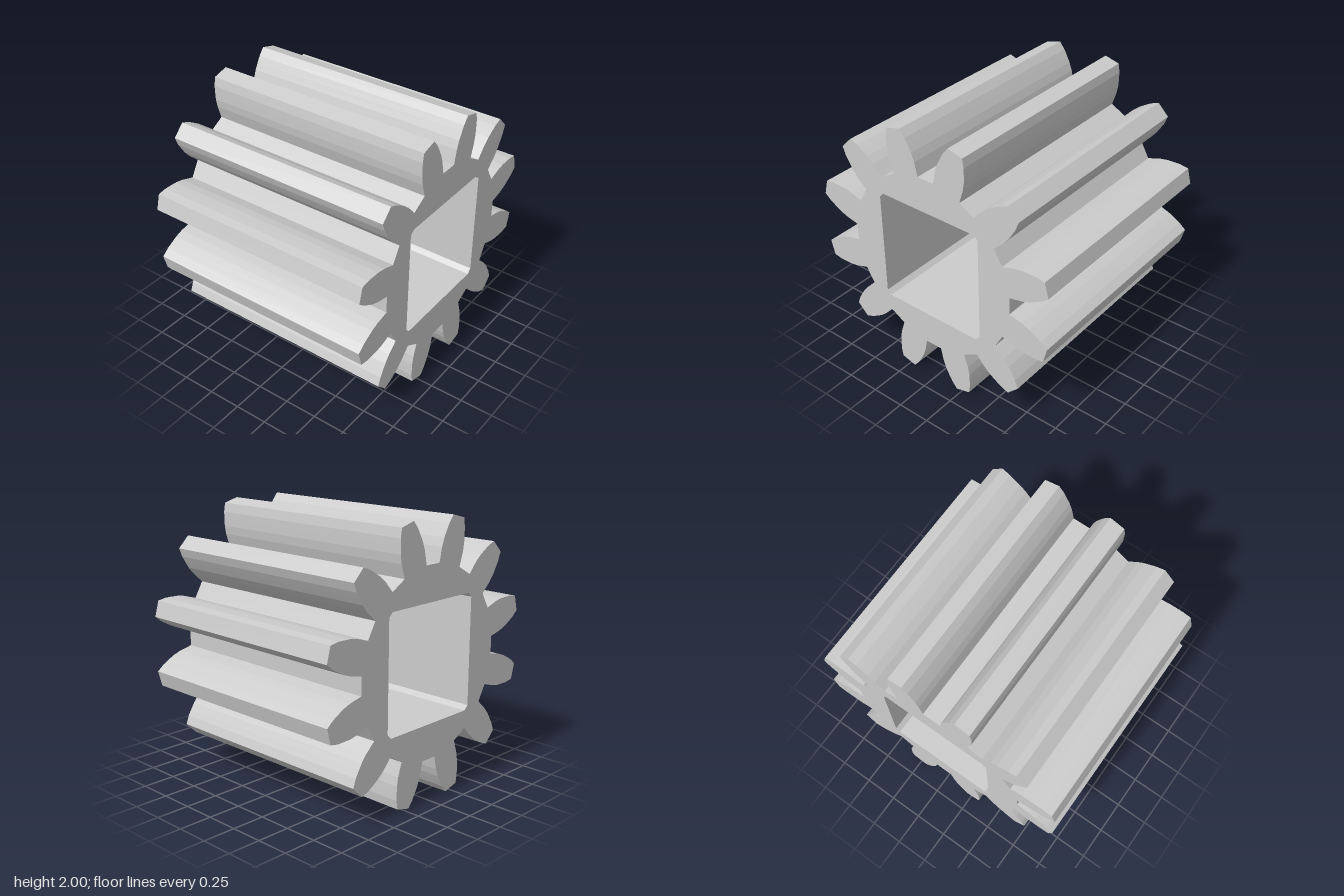
import * as THREE from 'three';

const TEETH = 12;
const LENGTH = 1.75;

// Half of one tooth from root to tip: [distance from axis, half width]
const FLANK = [[0.685, 0.114], [0.79, 0.119], [0.855, 0.113], [0.91, 0.1], [0.957, 0.088], [1.019, 0.06]];

// Outer outline: the mirrored flank repeated around the axis
function gearOutline() {
  const tooth = [
    ...FLANK.map(([r, w]) => new THREE.Vector2(r, -w)),
    ...[...FLANK].reverse().map(([r, w]) => new THREE.Vector2(r, w)),
  ];
  const origin = new THREE.Vector2();
  const points = [];
  for (let i = 0; i < TEETH; i++) {
    const angle = ((i + 0.5) / TEETH) * Math.PI * 2;
    for (const p of tooth) points.push(p.clone().rotateAround(origin, angle));
  }
  return new THREE.Shape(points);
}

// Square bore with small chamfered corners
function squareBore(half, chamfer) {
  const origin = new THREE.Vector2();
  const points = [];
  for (let i = 0; i < 4; i++) {
    for (const [x, y] of [[half, half - chamfer], [half - chamfer, half]]) {
      points.push(new THREE.Vector2(x, y).rotateAround(origin, (i * Math.PI) / 2));
    }
  }
  return new THREE.Path(points.reverse());
}

export function createModel() {
  const group = new THREE.Group();
  group.name = 'pinionGear';

  const shape = gearOutline();
  shape.holes.push(squareBore(0.433, 0.033));

  // Long straight-toothed gear body, its axis along z
  const geometry = new THREE.ExtrudeGeometry(shape, { depth: LENGTH, bevelEnabled: false });
  geometry.translate(0, 1, -LENGTH / 2);

  const material = new THREE.MeshStandardMaterial({ color: 0xcccccc, flatShading: true });
  const gear = new THREE.Mesh(geometry, material);
  gear.name = 'toothedGearBody';
  group.add(gear);
  return group;
}
